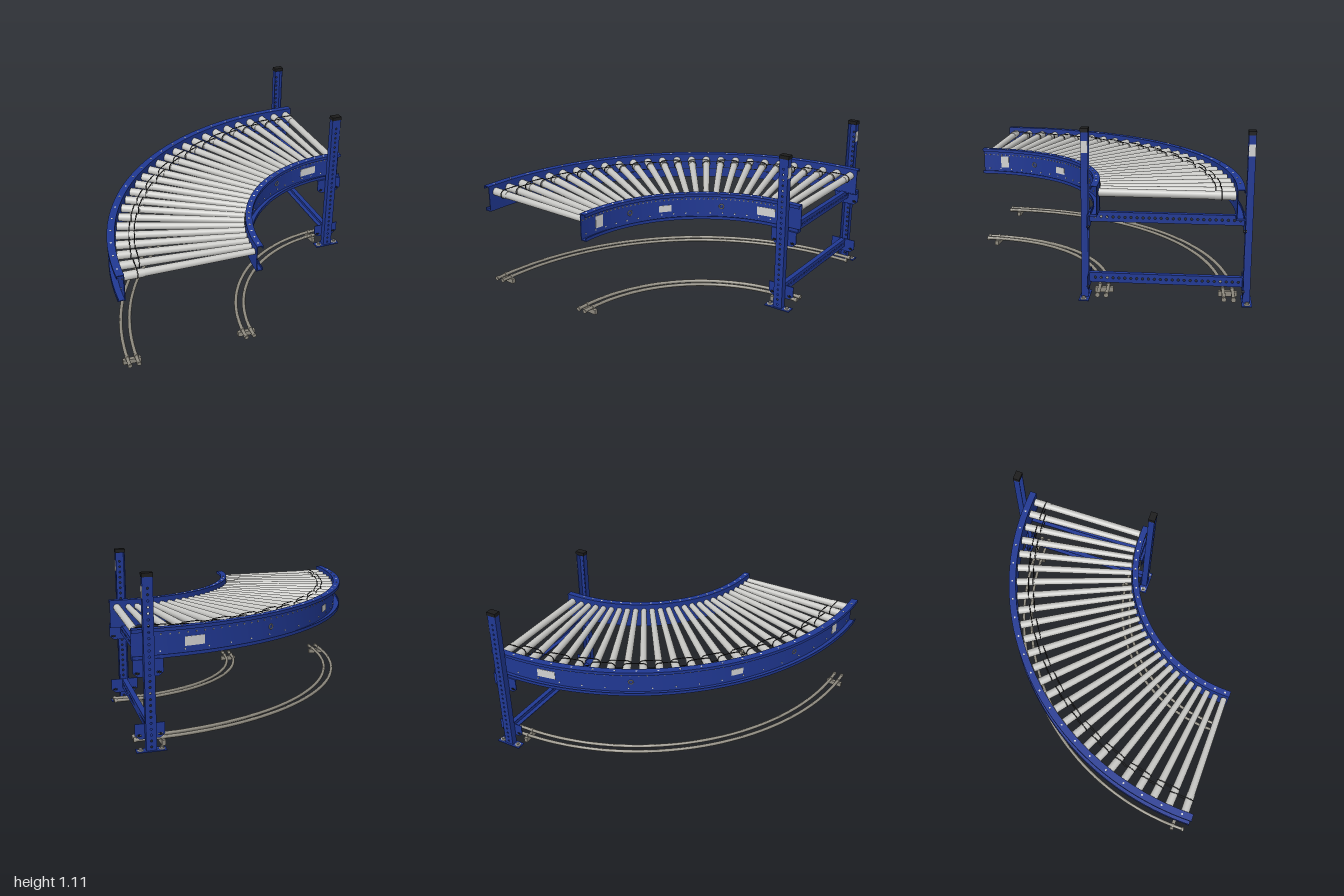
import * as THREE from 'three';
import { toCreasedNormals } from 'three/addons/utils/BufferGeometryUtils.js';

const CX = 0.9, CZ = 0.98, END = 1.0; // bend centre and end of the straight run
const DEG = Math.PI / 180;

const mat = (name, color) => {
  const m = new THREE.MeshStandardMaterial({ color });
  m.name = name;
  return m;
};
const blue = mat('blue paint', 0x203893);
const silver = mat('roller silver', 0xc6c6c3);
const grey = mat('pipe grey', 0x8f8b80);
const pale = mat('label pale', 0xd2d2d2);
const black = mat('black rubber', 0x1b1b1b);

function add(parent, name, geo, material, x = 0, y = 0, z = 0) {
  const m = new THREE.Mesh(geo, material);
  m.name = name;
  m.position.set(x, y, z);
  parent.add(m);
  return m;
}
const box = (w, h, d) => new THREE.BoxGeometry(w, h, d);
// cylinder lying along x
const rod = (r0, r1, len, n = 20) => new THREE.CylinderGeometry(r1, r0, len, n).rotateZ(-Math.PI / 2);

// Sweep a counter-clockwise (radius, y) profile round the bend, optionally on into the straight run
function sweep(profile, a0 = 0, a1 = 90, straight = true) {
  const n = Math.max(2, Math.ceil((a1 - a0) / 2));
  const rings = [];
  for (let s = 0; s <= n; s++) {
    const a = (a0 + (a1 - a0) * s / n) * DEG;
    rings.push(profile.map(([r, y]) => [CX - r * Math.cos(a), y, CZ - r * Math.sin(a)]));
  }
  if (straight) rings.push(profile.map(([r, y]) => [END, y, CZ - r]));
  const pos = [], k = profile.length;
  for (let s = 0; s < rings.length - 1; s++) {
    for (let i = 0; i < k; i++) {
      const j = (i + 1) % k, A = rings[s], B = rings[s + 1];
      pos.push(...A[i], ...A[j], ...B[j], ...A[i], ...B[j], ...B[i]);
    }
  }
  const faces = THREE.ShapeUtils.triangulateShape(profile.map(p => new THREE.Vector2(...p)), []);
  const last = rings[rings.length - 1];
  for (const [a, b, c] of faces) {
    pos.push(...rings[0][a], ...rings[0][c], ...rings[0][b], ...last[a], ...last[b], ...last[c]);
  }
  const g = new THREE.BufferGeometry();
  g.setAttribute('position', new THREE.Float32BufferAttribute(pos, 3));
  return toCreasedNormals(g, 0.7);
}
const rect = (r0, r1, y0, y1) => [[r0, y0], [r1, y0], [r1, y1], [r0, y1]];

// Group whose local +x points outward along the given angle of the bend
function spoke(parent, name, angle, x = CX) {
  const g = new THREE.Group();
  g.name = name;
  g.position.set(x, 0, CZ);
  g.rotation.y = Math.PI - angle * DEG;
  parent.add(g);
  return g;
}

// Lipped channel rail with its fasteners and labels; web at radius w, flanges reaching f
function sideRail(parent, name, w, f) {
  const g = new THREE.Group();
  g.name = name;
  parent.add(g);
  const d = Math.sign(f - w), t = 0.006 * d, y0 = 0.572, y1 = 0.76, h = 0.006, lip = 0.022;
  const p = [[w, y0], [f, y0], [f, y0 + lip], [f - t, y0 + lip], [f - t, y0 + h], [w + t, y0 + h],
    [w + t, y1 - h], [f - t, y1 - h], [f - t, y1 - lip], [f, y1 - lip], [f, y1], [w, y1]];
  add(g, 'railChannel', sweep(d > 0 ? p : p.reverse()), blue);
  const face = w + t;
  const bolt = rod(0.005, 0.005, 0.008, 8);
  for (let i = 0; i < 50; i++) add(spoke(g, 'axleBolt', 0.9 + i * 1.8), 'boltHead', bolt, grey, face, 0.71, 0);
  for (let i = 0; i < 18; i++) add(spoke(g, 'lowerBolt', 2.5 + i * 5), 'boltHead', bolt, pale, face, 0.605, 0);
  const dot = new THREE.CylinderGeometry(0.007, 0.007, 0.002, 10);
  for (let i = 0; i < 20; i++) add(spoke(g, 'flangeHole', 2.25 + i * 4.5), 'holeMark', dot, pale, (w + f) / 2, y1, 0);
  // rating labels and access rings on the web
  const r0 = Math.min(face, face + d * 0.003), r1 = Math.max(face, face + d * 0.003);
  const s = 0.98 / w;
  for (const [mid, half, lo, hi] of [[9.5, 1.8, 0.615, 0.7], [39, 2.6, 0.625, 0.672], [80.5, 3.9, 0.622, 0.682]]) {
    add(g, 'label', sweep(rect(r0, r1, lo, hi), mid - half * s, mid + half * s, false), pale);
  }
  for (const a of [24, 62]) {
    add(spoke(g, 'accessRing', a), 'ring', new THREE.TorusGeometry(0.016, 0.004, 6, 16).rotateY(Math.PI / 2), grey, face, 0.655, 0);
  }
}

// Roller with drive sleeve and axle
function roller(parent, angle, x, inner) {
  const g = spoke(parent, 'roller', angle, x);
  add(g, 'rollerBody', rod(inner, 0.026, 0.735), silver, 1.3625, 0.71, 0);
  add(g, 'driveSleeve', rod(0.0285, 0.0285, 0.13), silver, 1.78, 0.71, 0);
  add(g, 'axle', rod(0.006, 0.006, 0.87, 6), grey, 1.42, 0.71, 0);
}

// Round belt looped over two neighbouring rollers
function belt(parent, angle, x, radius, half) {
  const pts = [], r = 0.03;
  for (const side of [1, -1]) {
    for (let i = 0; i <= 8; i++) {
      const a = Math.PI * i / 8;
      pts.push(new THREE.Vector3(0, side * r * Math.cos(a), side * (half + r * Math.sin(a))));
    }
  }
  const path = new THREE.CatmullRomCurve3(pts, true, 'centripetal');
  add(spoke(parent, 'driveBelt', angle, x), 'belt', new THREE.TubeGeometry(path, 36, 0.0032, 5, true), black, radius, 0.71, 0);
}

// Perforated channel running up y from 0, web facing +z
function channel(name, len, width, depth, holeR) {
  const g = new THREE.Group();
  g.name = name;
  const t = 0.005, s = new THREE.Shape();
  s.moveTo(-width / 2, 0).lineTo(width / 2, 0).lineTo(width / 2, len).lineTo(-width / 2, len).closePath();
  const n = Math.floor((len - 0.03) / 0.038);
  for (let i = 0; i < n; i++) {
    s.holes.push(new THREE.Path().absarc(0, 0.03 + i * 0.038, holeR, 0, Math.PI * 2, true));
  }
  add(g, 'web', new THREE.ExtrudeGeometry(s, { depth: t, bevelEnabled: false, curveSegments: 5 }), blue, 0, 0, -t);
  for (const e of [-1, 1]) add(g, 'flange', box(t, len, depth), blue, e * (width - t) / 2, len / 2, -depth / 2);
  return g;
}

// Gusset plate with cut lower corners and slots
function gusset(h) {
  const s = new THREE.Shape();
  s.moveTo(-0.065, 0).lineTo(0.065, 0).lineTo(0.095, 0.025).lineTo(0.095, h).lineTo(-0.095, h).lineTo(-0.095, 0.025).closePath();
  for (const e of [-1, 1]) {
    const q = new THREE.Path(), x = e * 0.068;
    q.moveTo(x - 0.014, 0.02).lineTo(x - 0.014, 0.03).lineTo(x + 0.014, 0.03).lineTo(x + 0.014, 0.02).closePath();
    s.holes.push(q);
  }
  return new THREE.ExtrudeGeometry(s, { depth: 0.006, bevelEnabled: false });
}

function stand(parent) {
  const g = new THREE.Group();
  g.name = 'stand';
  parent.add(g);
  const X = 0.905, bolt = new THREE.CylinderGeometry(0.012, 0.012, 0.016, 6);
  for (const [e, z] of [[1, 0.1], [-1, -0.975]]) {
    const post = channel('post', 1.09, 0.066, 0.045, 0.007);
    post.position.set(X, 0, z);
    if (e < 0) post.rotation.y = Math.PI;
    g.add(post);
    const mid = z - e * 0.0225, inner = z - e * 0.048;
    add(g, 'postCap', box(0.07, 0.025, 0.049), black, X, 1.098, mid);
    add(g, 'postLabel', box(0.003, 0.075, 0.043), pale, X + 0.034, 0.993, mid);
    add(g, 'footPlate', box(0.19, 0.006, 0.065), blue, X, 0.003, z - e * 0.02);
    for (const s of [-1, 1]) {
      add(g, 'footWasher', new THREE.CylinderGeometry(0.02, 0.02, 0.004, 14), pale, X + s * 0.067, 0.008, z - e * 0.018);
      add(g, 'footBolt', bolt, grey, X + s * 0.067, 0.014, z - e * 0.018);
    }
    for (const [y, h] of [[0.465, 0.11], [0.068, 0.1]]) {
      add(g, 'gusset', gusset(h), blue, X, y, inner - 0.003);
      for (const s of [-1, 1]) {
        add(g, 'gussetBolt', new THREE.CylinderGeometry(0.009, 0.009, 0.018, 6).rotateX(Math.PI / 2), black, X + s * 0.068, y + 0.025, inner);
      }
    }
    add(g, 'railSupport', box(0.19, 0.008, 0.06), blue, X, 0.568, inner - e * 0.03);
  }
  // cross beams between the posts, turned so the web faces +x
  for (const y of [0.542, 0.135]) {
    const beam = channel('crossBeam', 0.985, 0.064, 0.035, 0.008);
    beam.quaternion.setFromAxisAngle(new THREE.Vector3(1, 1, 1).normalize(), Math.PI * 2 / 3);
    beam.position.set(0.92, y, -0.93);
    g.add(beam);
  }
}

// Pair of bent floor pipes on cross blocks
function floorTrack(parent, name, rA, rB) {
  const g = new THREE.Group();
  g.name = name;
  parent.add(g);
  const mid = (rA + rB) / 2, tilt = Math.asin(0.085 / mid) / DEG;
  for (const r of [rA, rB]) {
    const ring = [...Array(10)].map((_, i) => [r + 0.012 * Math.cos(i * 36 * DEG), 0.045 + 0.012 * Math.sin(i * 36 * DEG)]);
    add(g, 'pipe', sweep(ring), grey);
    const collar = new THREE.CylinderGeometry(0.016, 0.016, 0.016, 12);
    add(g, 'endCollar', collar.clone().rotateX(Math.PI / 2), grey, CX - r, 0.045, CZ - 0.01);
    add(g, 'endCollar', collar.clone().rotateZ(Math.PI / 2), grey, END - 0.009, 0.045, CZ - r);
    for (const a of [tilt, 90 - tilt]) {
      add(spoke(g, 'pipeClamp', a), 'clamp', collar.clone().rotateX(Math.PI / 2), grey, r, 0.045, 0);
    }
  }
  for (const a of [tilt, 90 - tilt]) add(spoke(g, 'crossBlock', a), 'block', box(0.12, 0.034, 0.026), grey, mid, 0.017, 0);
}

export function createModel() {
  const model = new THREE.Group();
  model.name = 'curvedRollerConveyor';
  sideRail(model, 'outerRail', 1.85, 1.9);
  sideRail(model, 'innerRail', 0.99, 0.945);

  // fan of tapered rollers, then one straight roller at the end
  const bed = new THREE.Group();
  bed.name = 'rollerBed';
  model.add(bed);
  for (let i = 0; i < 25; i++) {
    roller(bed, 1.8 + 3.6 * i, CX, 0.021);
    const r = i % 2 ? 1.722 : 1.757;
    if (i < 24) belt(bed, 3.6 * (i + 1), CX, r, r * Math.sin(1.8 * DEG));
  }
  roller(bed, 90, 0.95, 0.026);
  belt(bed, 90, 0.898, 1.757, 0.052);

  stand(model);
  floorTrack(model, 'outerFloorTrack', 1.85, 1.79);
  floorTrack(model, 'innerFloorTrack', 1.045, 0.99);
  return model;
}
